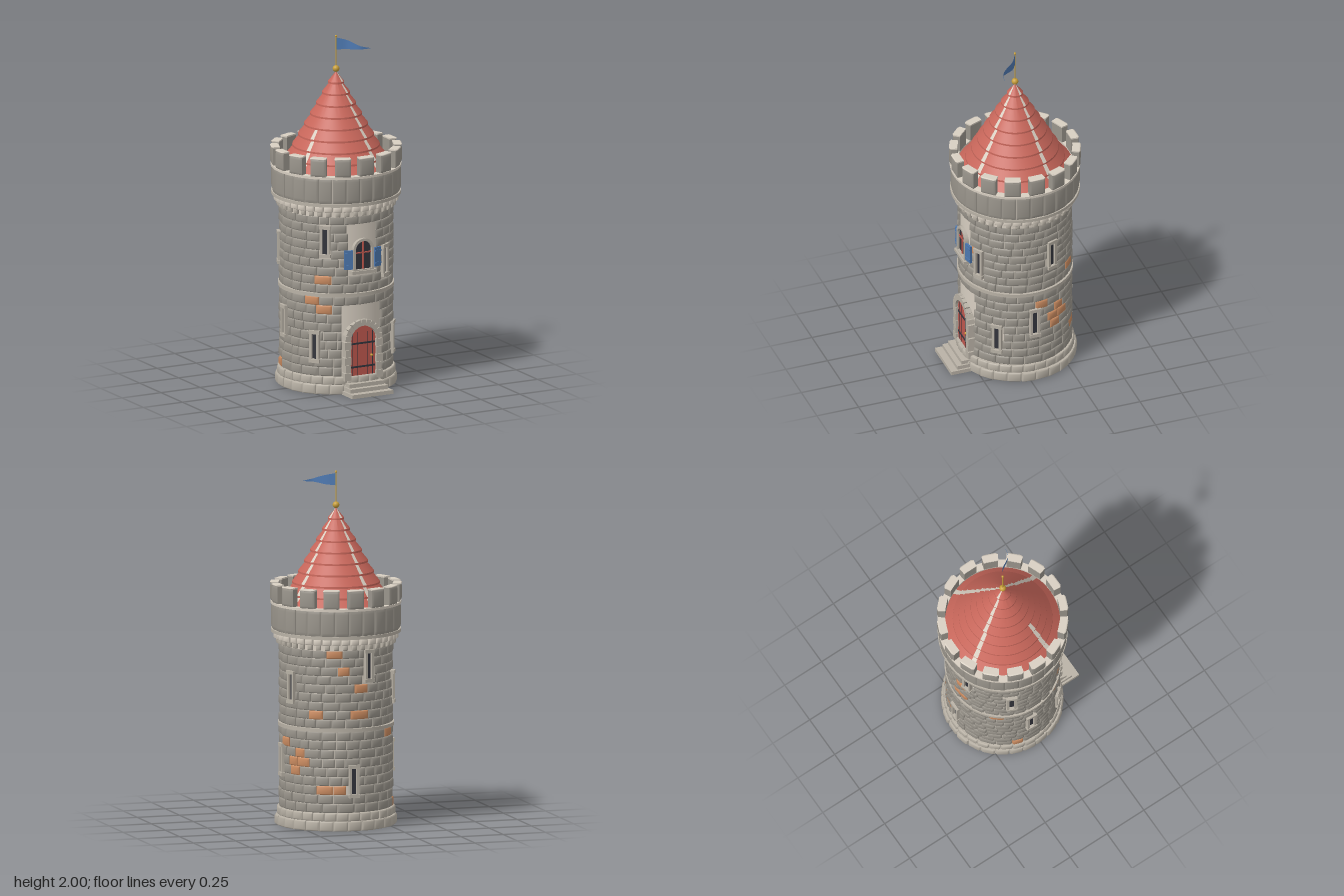
import * as THREE from 'three';
import { mergeGeometries, toCreasedNormals } from 'three/addons/utils/BufferGeometryUtils.js';

const mat = (name, color, side = THREE.FrontSide) => {
  const m = new THREE.MeshStandardMaterial({ color, side });
  m.name = name;
  return m;
};
const RAD = Math.PI / 180, TAU = Math.PI * 2;

export function createModel() {
  const M = {
    stone: mat('greyStone', 0x9a958c),
    trim: mat('paleTrimStone', 0xb9b2a6),
    plaster: mat('lightMortar', 0xd8cfc2, THREE.DoubleSide),
    brick: mat('orangeBrick', 0xcb8c61),
    roof: mat('redRoof', 0xc7665a),
    wood: mat('redWood', 0xbf584e),
    dark: mat('darkOpening', 0x33343c),
    blue: mat('blue', 0x4d78b0, THREE.DoubleSide),
    gold: mat('gold', 0xc9a03a),
  };
  let seed = 7;
  const rnd = () => (seed = (seed * 16807) % 2147483647) / 2147483647;

  const model = new THREE.Group();
  const tower = new THREE.Group();
  tower.name = 'tower';
  tower.position.z = -0.03;
  model.add(tower);

  const add = (name, geo, material, parent = tower) => {
    const mesh = new THREE.Mesh(geo, material);
    mesh.name = name;
    parent.add(mesh);
    return mesh;
  };
  const box = (name, w, h, d, x, y, z, material, parent) => {
    const m = add(name, new THREE.BoxGeometry(w, h, d), material, parent);
    m.position.set(x, y, z);
    return m;
  };
  const lathe = (pts, segs = 64, start = 0, len = TAU) => toCreasedNormals(
    new THREE.LatheGeometry(pts.map(p => new THREE.Vector2(p[0], p[1])), segs, start, len), 0.5);
  // ring with a rectangular section
  const ring = (name, r0, r1, y0, y1, material) =>
    add(name, lathe([[r0, y0], [r1, y0], [r1, y1], [r0, y1], [r0, y0]]), material);

  // curved stone with a pillowed outer face
  const block = (t0, t1, y0, y1, r0, r1, bevel = 0.007) => {
    const g = new THREE.BoxGeometry(1, 1, 1, 3, 3, 1), p = g.attributes.position;
    const edge = v => Math.abs(v) > 0.4;
    const spread = v => (edge(v) ? v : Math.sign(v) * 0.36);
    for (let i = 0; i < p.count; i++) {
      const x = p.getX(i), y = p.getY(i);
      const t = t0 + (spread(x) + 0.5) * (t1 - t0);
      const r = p.getZ(i) < 0 ? r0 : r1 - (edge(x) || edge(y) ? bevel : 0);
      p.setXYZ(i, r * Math.sin(t), y0 + (spread(y) + 0.5) * (y1 - y0), r * Math.cos(t));
    }
    g.computeVertexNormals();
    return g;
  };
  // evenly spaced blocks all round
  const blockRing = (name, n, fill, y0, y1, r0, r1, material, jitter = 0) => {
    const list = [];
    for (let i = 0; i < n; i++) {
      const a = i / n * TAU, h = Math.PI / n * fill;
      list.push(block(a - h, a + h, y0, y1, r0, r1 + (rnd() - 0.5) * jitter));
    }
    add(name, mergeGeometries(list), material);
  };

  // hollow core, open at the bottom
  add('wallCore', new THREE.CylinderGeometry(0.307, 0.307, 1.1, 64, 1, true), M.plaster).position.y = 0.55;

  // openings: angle in degrees, centre height
  const slits = [[-40, 0.88], [30, 0.74], [-51, 0.27], [51, 0.27], [110, 0.8],
    [90, 0.375], [197, 0.93], [245, 0.78], [180, 0.28], [266, 0.38]];
  const gaps = slits.map(([a, y]) => [a * RAD, 0.1, y - 0.09, y + 0.09]);
  gaps.push([0, 0.4, 0.1, 0.49], [0, 0.29, 0.68, 0.96]);
  const bricks = [[-46, 0.66], [-56, 0.53], [-33, 0.465], [104, 0.465], [126, 0.41], [116, 0.41],
    [108, 0.36], [126, 0.36], [120, 0.31], [153, 0.25], [136, 0.66], [164, 0.99], [174, 0.88],
    [184, 0.78], [178, 0.67], [228, 0.52], [162, 0.22], [247, 0.12], [24, 0.78]];

  // wall courses, trimmed around the openings
  const grey = [], orange = [];
  const course = (y0, y1) => {
    const n = 22 + Math.floor(rnd() * 5), off = rnd(), ym = (y0 + y1) / 2;
    const cuts = Array.from({ length: n }, (_, i) => (i + off + (rnd() - 0.5) * 0.45) / n * TAU);
    cuts.push(cuts[0] + TAU);
    for (let i = 0; i < n; i++) {
      let t0 = cuts[i] + 0.004, t1 = cuts[i + 1] - 0.004;
      const mid = (t0 + t1) / 2;
      for (const [a, w, b0, b1] of gaps) {
        if (ym < b0 || ym > b1) continue;
        const c = a + Math.round((mid - a) / TAU) * TAU;
        if (t0 < c + w && t1 > c - w) {
          if (mid < c) t1 = Math.min(t1, c - w);
          else t0 = Math.max(t0, c + w);
        }
      }
      if (t1 - t0 < 0.04) continue;
      const isBrick = bricks.some(([a, y]) => y >= y0 && y < y1 &&
        [0, TAU, -TAU].some(k => a * RAD + k >= t0 && a * RAD + k <= t1));
      (isBrick ? orange : grey).push(
        block(t0, t1, y0 + 0.001, y1 - 0.001, 0.303, 0.319 + rnd() * 0.005));
    }
  };
  for (let i = 0; i < 9; i++) {
    course(0.1 + i * 0.0511, 0.1 + (i + 1) * 0.0511);
    course(0.58 + i * 0.0495, 0.58 + (i + 1) * 0.0495);
  }
  add('wallStones', mergeGeometries(grey), M.stone);
  add('wallBricks', mergeGeometries(orange), M.brick);

  // plinth, string course, corbels and parapet
  blockRing('plinthLower', 26, 0.98, 0, 0.055, 0.3, 0.345, M.trim, 0.008);
  blockRing('plinthUpper', 30, 0.98, 0.055, 0.1, 0.3, 0.333, M.trim, 0.006);
  ring('stringCourse', 0.3, 0.327, 0.56, 0.58, M.trim);
  ring('corbelBand', 0.3, 0.318, 1.02, 1.1, M.plaster);
  blockRing('corbelFeet', 40, 0.55, 1.025, 1.06, 0.3, 0.336, M.trim);
  blockRing('corbels', 40, 0.88, 1.055, 1.092, 0.3, 0.35, M.plaster, 0.006);
  ring('parapetLedge', 0.3, 0.365, 1.09, 1.108, M.trim);
  ring('parapetCore', 0.325, 0.352, 1.1, 1.255, M.plaster);
  blockRing('parapetStones', 28, 0.985, 1.108, 1.252, 0.34, 0.364, M.stone, 0.005);
  ring('parapetCoping', 0.325, 0.367, 1.25, 1.264, M.plaster);
  blockRing('merlons', 16, 0.64, 1.264, 1.364, 0.324, 0.37, M.stone);
  blockRing('merlonCaps', 16, 0.66, 1.362, 1.37, 0.323, 0.371, M.plaster);

  // tiered roof
  const tiers = 9, yA = 1.25, dy = 0.06;
  const R = y => 0.558 * (1.798 - y);
  const profile = [];
  for (let i = 0; i < tiers; i++) {
    const y = yA + i * dy;
    profile.push([R(y) + (i ? 0.008 : 0.018), y - 0.006], [R(y) + (i ? 0.007 : 0.018), y + 0.004], [R(y + dy), y + dy - 0.006]);
  }
  profile.push([0.001, 1.8]);
  add('roof', lathe(profile), M.roof);
  // pale tile strips down the roof
  for (let k = 0; k < 4; k++) {
    for (let i = 0; i < (k === 3 ? 4 : tiers); i++) {
      const p = profile.slice(i * 3 + 1, i * 3 + 3).map(([r, y]) => [r + 0.002, y + 0.001]);
      const r = Math.max(p[0][0], 0.03), len = (0.014 + 0.05 * r) / r;
      const a = (22.5 + 90 * k) * RAD + (rnd() - 0.5) * 0.006 / r;
      add('roofStrip', lathe(p, 4, a - len / 2, len), M.plaster);
    }
  }

  // finial, pole and waving pennant
  const ball = (name, r, y) => add(name, new THREE.SphereGeometry(r, 20, 14), M.gold).position.y = y;
  ball('finialBall', 0.019, 1.805);
  ball('poleTip', 0.007, 1.993);
  add('flagPole', new THREE.CylinderGeometry(0.004, 0.004, 0.19, 10), M.gold).position.y = 1.895;
  const wave = new THREE.CatmullRomCurve3([[0, 0], [0.05, 0.035], [0.075, 0.075], [0.1, 0.105], [0.155, 0.12]]
    .map(([x, z]) => new THREE.Vector3(x, 0, z)));
  const flag = new THREE.PlaneGeometry(1, 1, 20, 2), fp = flag.attributes.position;
  for (let i = 0; i < fp.count; i++) {
    const u = fp.getX(i) + 0.5, v = fp.getY(i), q = wave.getPoint(u);
    fp.setXYZ(i, q.x, 1.95 - 0.02 * u + v * 0.07 * (1 - u * 0.97), q.z);
  }
  flag.computeVertexNormals();
  add('pennant', flag, M.blue);

  // round-headed outline
  const arch = (w, y0, y1, C = THREE.Shape) => {
    const s = new C();
    s.moveTo(-w, y0);
    s.lineTo(w, y0);
    s.lineTo(w, y1 - w);
    s.absarc(0, y1 - w, w, 0, Math.PI, false);
    s.lineTo(-w, y0);
    return s;
  };
  const slab = (name, shape, z, depth, material) => {
    const g = new THREE.ExtrudeGeometry(shape, { depth, bevelEnabled: false, curveSegments: 20 });
    add(name, toCreasedNormals(g, 0.6), material).position.z = z;
  };

  // door with planks, straps and a stone arch
  slab('door', arch(0.084, 0.075, 0.384), 0.28, 0.03, M.wood);
  slab('doorBack', arch(0.09, 0.07, 0.386), 0.23, 0.05, M.dark);
  for (let i = -2; i <= 2; i++) {
    if (i) box('plankGap', 0.004, 0.27, 0.004, i * 0.032, 0.215, 0.31, M.dark);
  }
  for (const y of [0.15, 0.285]) box('hingeStrap', 0.155, 0.01, 0.006, 0, y, 0.311, M.dark);
  ball('doorKnob', 0.008, 0.21);
  tower.children.at(-1).position.set(0.055, 0.21, 0.315);
  const spring = 0.3;
  for (const s of [-1, 1]) {
    for (let i = 0; i < 5; i++) {
      box('doorJamb', i % 2 ? 0.032 : 0.042, 0.043, 0.06, s * (i % 2 ? 0.098 : 0.101), 0.1 + i * 0.045, 0.295, M.trim);
    }
  }
  for (let i = 0; i < 11; i++) {
    const a = (i + 0.5) / 11 * Math.PI;
    box('doorArchStone', 0.036, 0.028, 0.06, Math.cos(a) * 0.1, spring + 0.005 + Math.sin(a) * 0.1, 0.297, M.trim).rotation.z = a;
  }
  // front steps
  [[0.262, 0.43, 0], [0.24, 0.39, 0.022], [0.22, 0.36, 0.044]].forEach(([w, z, y]) =>
    box('step', w, 0.022, z - 0.28, 0, y + 0.011, (z + 0.28) / 2, M.trim));

  // arched upper window with shutters
  const frame = arch(0.066, 0.7, 0.892);
  frame.holes.push(arch(0.051, 0.715, 0.877, THREE.Path));
  slab('windowFrame', frame, 0.28, 0.046, M.trim);
  slab('windowPane', arch(0.053, 0.71, 0.88), 0.27, 0.042, M.dark);
  box('windowMullion', 0.007, 0.16, 0.008, 0, 0.795, 0.314, M.wood);
  box('windowBar', 0.1, 0.007, 0.008, 0, 0.81, 0.314, M.wood);
  box('windowSill', 0.155, 0.018, 0.06, 0, 0.7, 0.305, M.trim);
  for (const s of [-1, 1]) {
    const shutter = new THREE.Group();
    shutter.name = 'shutter';
    shutter.position.set(s * 0.093, 0.775, 0.313);
    shutter.rotation.y = s * 0.25;
    tower.add(shutter);
    for (let i = -1; i <= 1; i++) box('shutterPlank', 0.0155, 0.11, 0.012, i * 0.0165, 0, 0, M.blue, shutter);
    for (const y of [-0.035, 0.035]) box('shutterBatten', 0.048, 0.01, 0.018, 0, y, 0, M.blue, shutter);
  }

  // arrow slits
  for (const [deg, y] of slits) {
    const g = new THREE.Group();
    g.name = 'arrowSlit';
    g.rotation.y = deg * RAD;
    g.position.y = y;
    tower.add(g);
    box('slitOpening', 0.032, 0.15, 0.03, 0, 0, 0.3, M.dark, g);
    for (const s of [-1, 1]) {
      box('slitJamb', 0.014, 0.16, 0.035, s * 0.021, 0, 0.312, M.trim, g);
      box(s > 0 ? 'slitLintel' : 'slitSill', 0.064, 0.02, 0.042, 0, s * 0.083, 0.312, M.trim, g);
    }
  }
  return model;
}
